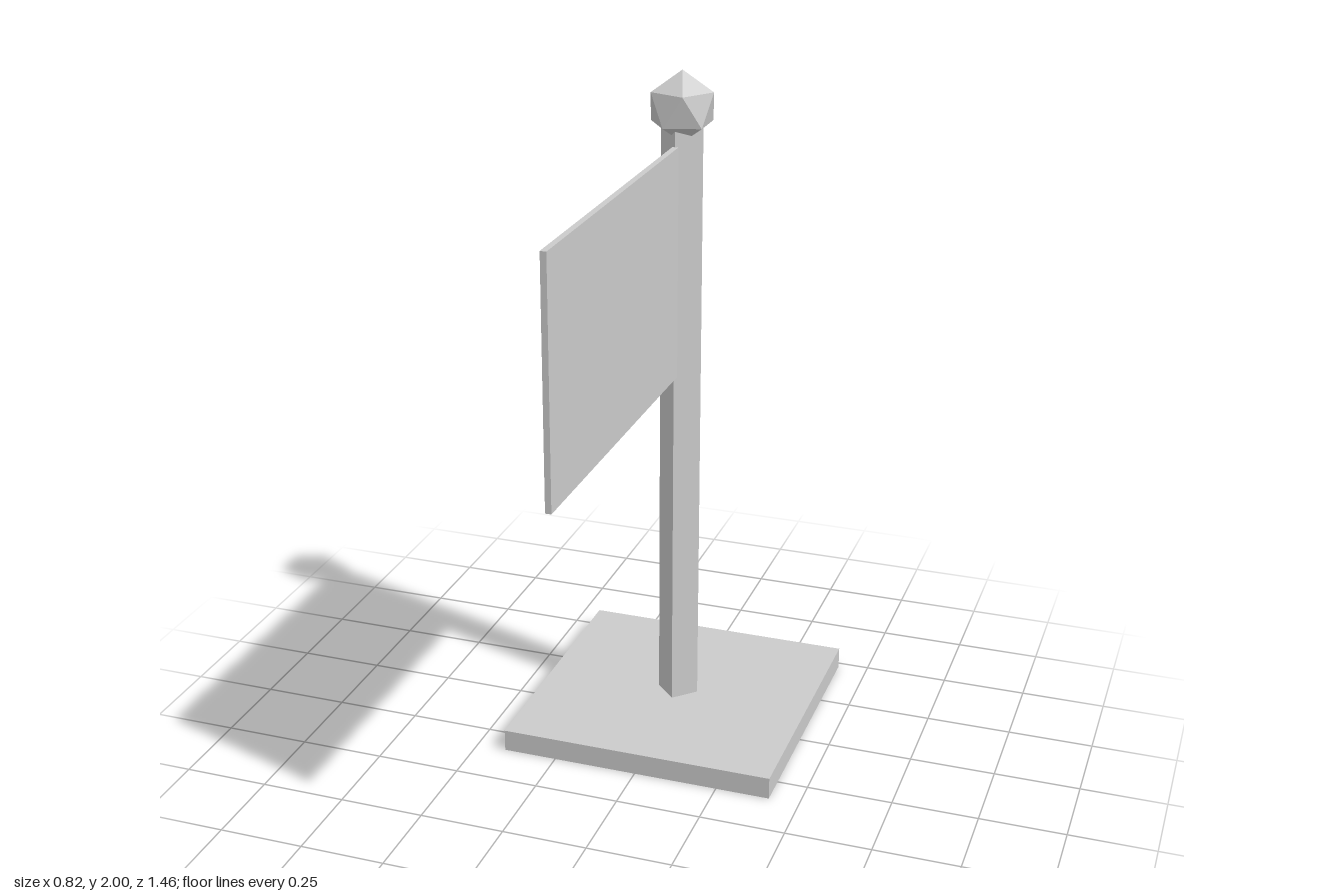
import * as THREE from 'three';

const POLE_Z = -0.316;

export function createModel() {
  const group = new THREE.Group();
  const material = new THREE.MeshStandardMaterial({ color: 0xcccccc, flatShading: true });

  const add = (name, geometry, x, y, z) => {
    const mesh = new THREE.Mesh(geometry, material);
    mesh.name = name;
    mesh.position.set(x, y, z);
    group.add(mesh);
  };

  // Square foot plate
  add('base', new THREE.BoxGeometry(0.82, 0.066, 0.82), 0, 0.033, POLE_Z);

  // Four-sided pole, corners pointing along x and z, its top sunk into the finial
  const bottom = 0.066, top = 1.87;
  add('pole', new THREE.CylinderGeometry(0.062, 0.062, top - bottom, 4), 0, (top + bottom) / 2, POLE_Z);

  // Icosahedron finial, turned so that one corner points straight up
  const radius = 0.102;
  const golden = (1 + Math.sqrt(5)) / 2;
  const finial = new THREE.IcosahedronGeometry(radius, 0).rotateZ(-Math.atan(1 / golden));
  add('finial', finial, 0, 2 - radius, POLE_Z);

  // Thin rigid flag reaching forward from the pole's front corner
  const back = -0.26, front = 0.73;
  add('flag', new THREE.BoxGeometry(0.017, 0.676, front - back), 0, 1.459, (front + back) / 2);

  return group;
}
